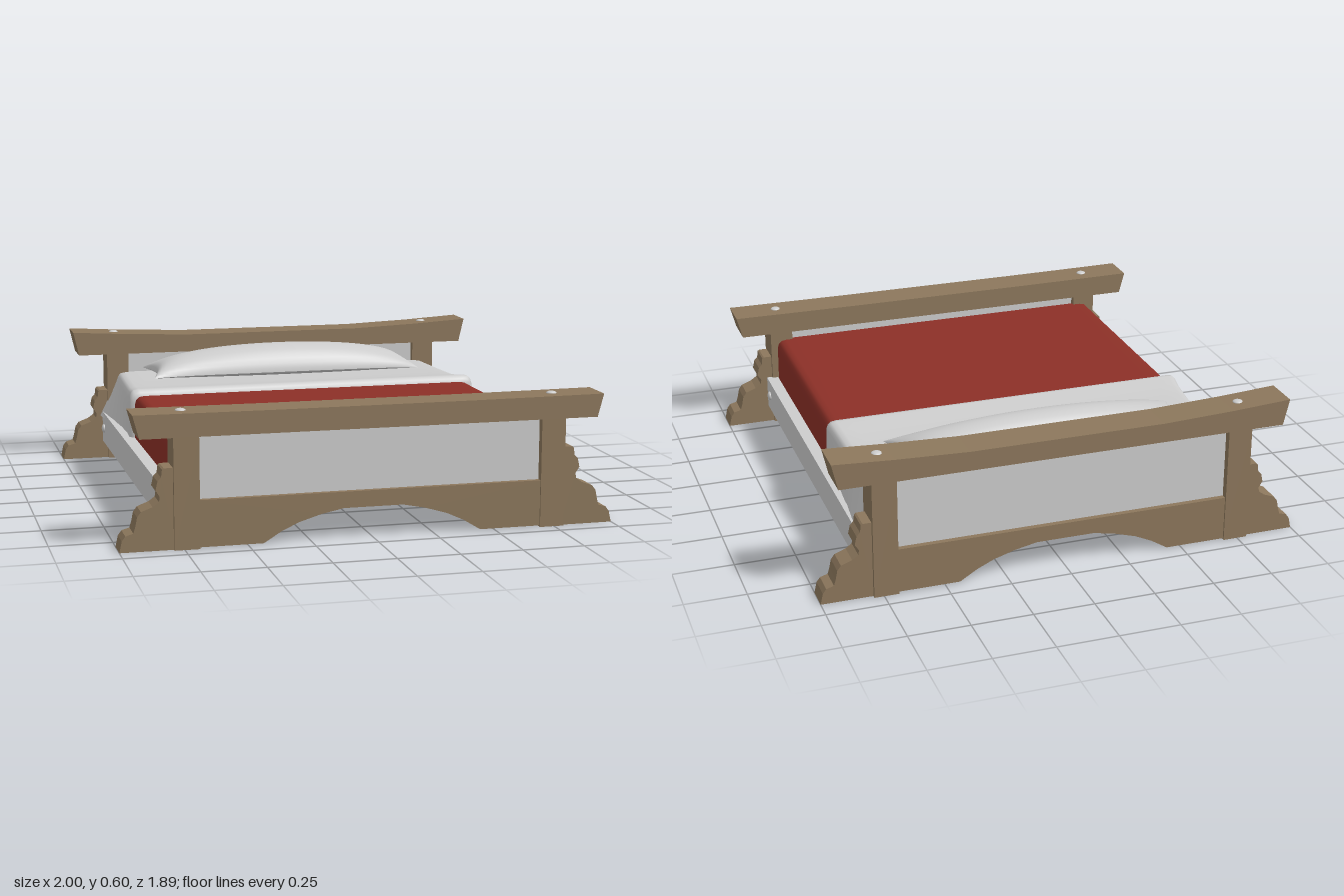
import * as THREE from 'three';

const wood = new THREE.MeshStandardMaterial({ color: 0x8c775c });
wood.name = 'brown wood';
const pale = new THREE.MeshStandardMaterial({ color: 0xcccccc, side: THREE.DoubleSide });
pale.name = 'pale grey';
const red = new THREE.MeshStandardMaterial({ color: 0x8c3027, side: THREE.DoubleSide });
red.name = 'blanket red';

function add(parent, name, geometry, material, x = 0, y = 0, z = 0) {
  const mesh = new THREE.Mesh(geometry, material);
  mesh.name = name;
  mesh.position.set(x, y, z);
  parent.add(mesh);
  return mesh;
}

// Flat outline given depth, centred on z = 0
function slab(points, depth) {
  const shape = new THREE.Shape(points.map(([x, y]) => new THREE.Vector2(x, y)));
  const g = new THREE.ExtrudeGeometry(shape, { depth, bevelEnabled: false });
  return g.translate(0, 0, -depth / 2);
}

// Smooth skin over a row of cross-sections with equal point counts
function loft(sections) {
  const n = sections[0].length;
  const index = [];
  for (let i = 0; i < sections.length - 1; i++) {
    for (let j = 0; j < n - 1; j++) {
      const a = i * n + j, b = a + 1, c = a + n, d = c + 1;
      index.push(a, c, b, b, c, d);
    }
  }
  const g = new THREE.BufferGeometry();
  g.setAttribute('position', new THREE.Float32BufferAttribute(sections.flat(2), 3));
  g.setIndex(index);
  g.computeVertexNormals();
  return g;
}

// Open cover section: skirt, rounded shoulder and flat top
function coverSection(z, w, top, hem) {
  const half = [
    [hem, 0.2], [w + (hem - w) * 0.25, top - 0.08], [w, top - 0.035],
    [w - 0.006, top - 0.016], [w - 0.018, top - 0.004], [w - 0.04, top], [w - 0.1, top],
  ];
  return [
    ...half.map(([x, y]) => [-x, y, z]),
    ...half.reverse().map(([x, y]) => [x, y, z]),
  ];
}

// Pillow with pinched corners and a plump middle
function pillowGeometry() {
  const sections = [];
  const nu = 32, nv = 32;
  for (let i = 0; i <= nu; i++) {
    const u = -Math.cos((i / nu) * Math.PI);
    const ring = [];
    for (let j = 0; j <= nv; j++) {
      const a = (j / nv) * Math.PI * 2;
      const v = Math.cos(a), s = Math.sin(a);
      const swell = Math.pow(Math.max(0, 1 - u * u), 0.38) * Math.pow(Math.abs(s), 1.15);
      ring.push([
        u * 0.62 * (0.94 + 0.06 * v * v),
        swell * (s > 0 ? 0.118 : -0.025),
        v * 0.163 * (0.78 + 0.22 * Math.pow(u, 6)),
      ]);
    }
    sections.push(ring);
  }
  return loft(sections);
}

const bracketOutline = [
  [0.78, 0], [1, 0], [0.99, 0.045], [0.976, 0.064], [0.945, 0.073], [0.937, 0.1],
  [0.93, 0.135], [0.915, 0.155], [0.87, 0.172], [0.845, 0.19], [0.842, 0.21],
  [0.858, 0.235], [0.85, 0.27], [0.836, 0.285], [0.832, 0.315], [0.825, 0.32], [0.78, 0.32],
];

const archBoard = [
  [-0.7, 0.005], [-0.44, 0.005], [-0.37, 0.048], [-0.3, 0.08], [-0.21, 0.107], [-0.12, 0.125],
  [0.12, 0.125], [0.21, 0.107], [0.3, 0.08], [0.37, 0.048], [0.44, 0.005], [0.7, 0.005],
  [0.7, 0.19], [-0.7, 0.19],
];

// Headboard or footboard
function makeEnd(name, z, capBottom, capTop) {
  const end = new THREE.Group();
  end.name = name;
  end.position.z = z;
  const [tip, middle] = capTop;
  add(end, 'cap', slab([
    [-0.92, capBottom], [0.92, capBottom], [0.945, tip], [0.7, middle + (tip - middle) * 0.45],
    [0.4, middle], [-0.4, middle], [-0.7, middle + (tip - middle) * 0.45], [-0.945, tip],
  ], 0.15), wood);
  add(end, 'archedBoard', slab(archBoard, 0.115), wood);
  const panelHeight = capBottom - 0.18;
  add(end, 'panel', new THREE.BoxGeometry(1.4, panelHeight, 0.07), pale, 0, 0.18 + panelHeight / 2, 0);
  for (const s of [-1, 1]) {
    add(end, 'post', new THREE.BoxGeometry(0.1, capBottom, 0.13), wood, s * 0.74, capBottom / 2, 0);
    const bracket = add(end, 'scrollBracket', slab(bracketOutline, 0.1), wood);
    if (s < 0) bracket.rotation.y = Math.PI;
    const stud = add(end, 'capStud', new THREE.SphereGeometry(0.021, 16, 10), pale,
      s * 0.75, middle + (tip - middle) * 0.53, 0);
    stud.scale.y = 0.4;
  }
  return end;
}

export function createModel() {
  const bed = new THREE.Group();
  bed.name = 'bed';
  bed.add(makeEnd('footboard', 0.868, 0.44, [0.533, 0.53]));
  bed.add(makeEnd('headboard', -0.87, 0.49, [0.597, 0.57]));

  // Side rails with bolts
  for (const s of [-1, 1]) {
    add(bed, 'sideRail', new THREE.BoxGeometry(0.05, 0.14, 1.63), pale, s * 0.79, 0.15, 0);
    for (const z of [-0.76, 0.76]) {
      const bolt = add(bed, 'railBolt', new THREE.SphereGeometry(0.02, 16, 10), pale, s * 0.816, 0.15, z);
      bolt.scale.x = 0.6;
    }
  }

  // Bedding: open shells draped over the frame
  add(bed, 'blanket', loft([-0.2, 0.3, 0.82].map((z) => coverSection(z, 0.76, 0.4, 0.762))), red);
  const sheet = [
    [-0.82, 0.745, 0.402, 0.825], [-0.7, 0.75, 0.403, 0.812], [-0.55, 0.757, 0.404, 0.797],
    [-0.38, 0.765, 0.407, 0.785], [-0.27, 0.772, 0.418, 0.782], [-0.21, 0.78, 0.429, 0.785],
    [-0.193, 0.781, 0.427, 0.785], [-0.18, 0.775, 0.415, 0.778], [-0.175, 0.761, 0.401, 0.763],
  ];
  add(bed, 'sheet', loft(sheet.map((s) => coverSection(...s))), pale);
  add(bed, 'pillow', pillowGeometry(), pale, -0.01, 0.427, -0.615);
  return bed;
}
